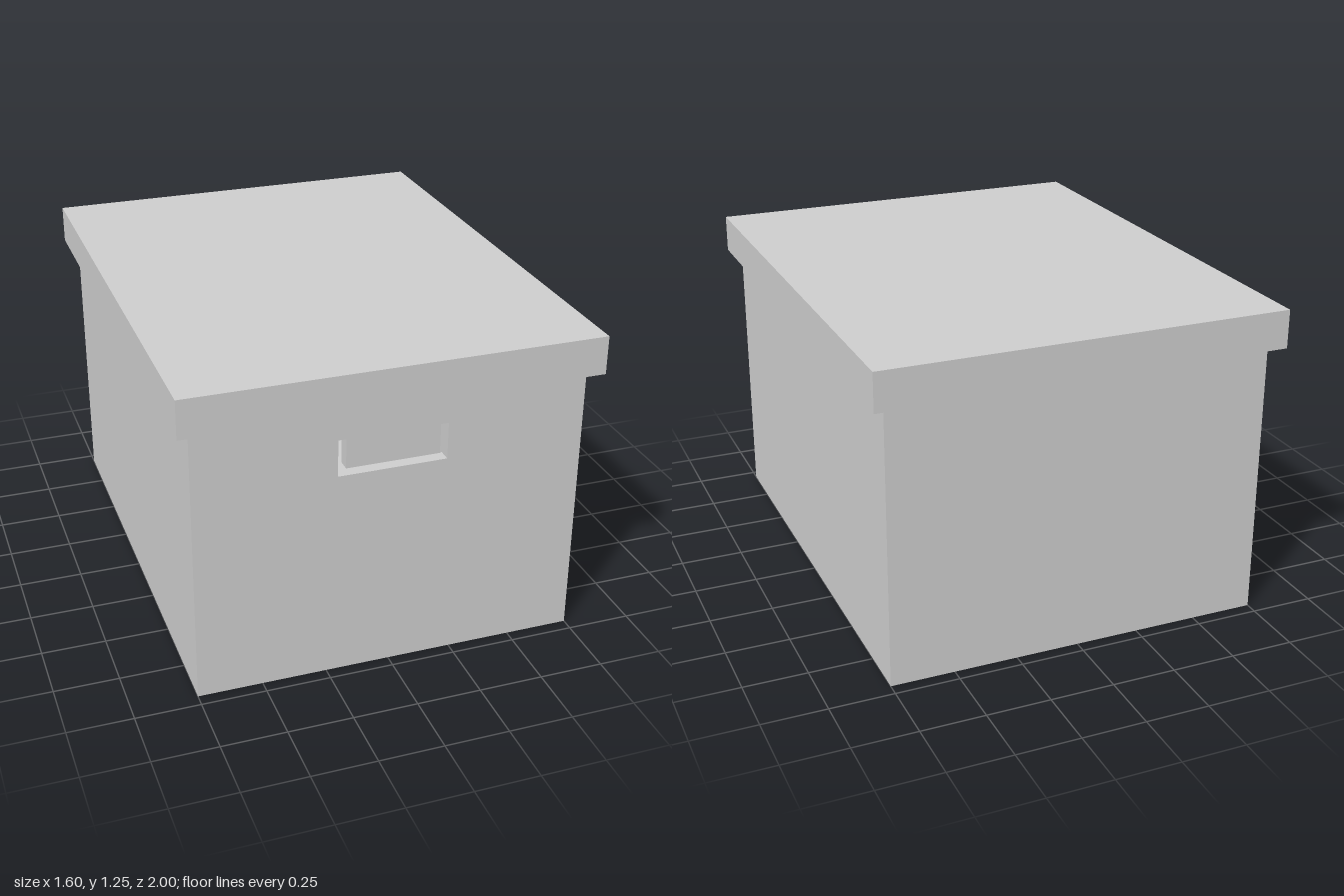
import * as THREE from 'three';

const WALL = 0.05;

export function createModel() {
  const model = new THREE.Group();
  model.name = 'storageBox';
  const grey = new THREE.MeshStandardMaterial({ color: 0xcccccc });
  grey.name = 'grey card';

  const add = (name, geometry, x, y, z, parent) => {
    const mesh = new THREE.Mesh(geometry, grey);
    mesh.name = name;
    mesh.position.set(x, y, z);
    parent.add(mesh);
  };
  const box = (name, w, h, d, x, y, z, parent) =>
    add(name, new THREE.BoxGeometry(w, h, d), x, y, z, parent);

  // Hollow body: floor, sides and back
  const body = new THREE.Group();
  body.name = 'body';
  model.add(body);
  const height = 1.2;
  box('floor', 1.4, WALL, 1.8, 0, WALL / 2, 0, body);
  box('backWall', 1.5, height, WALL, 0, height / 2, -0.925, body);
  for (const [name, s] of [['leftWall', 1], ['rightWall', -1]]) {
    box(name, WALL, height, 1.8, s * 0.725, height / 2, 0, body);
  }

  // Front wall with a U-shaped slot that leaves a hand flap
  const outline = (points) => points.map(([x, y]) => new THREE.Vector2(x, y));
  const front = new THREE.Shape(outline([[-0.75, 0], [0.75, 0], [0.75, height], [-0.75, height]]));
  front.holes.push(new THREE.Path(outline([
    [-0.21, 0.975], [-0.18, 0.975], [-0.18, 0.858], [0.18, 0.858],
    [0.18, 0.975], [0.21, 0.975], [0.21, 0.83], [-0.21, 0.83],
  ])));
  add('frontWall', new THREE.ExtrudeGeometry(front, { depth: WALL, bevelEnabled: false }), 0, 0, 0.9, body);

  // Overhanging lid: top plate with a rim around the body
  const lid = new THREE.Group();
  lid.name = 'lid';
  model.add(lid);
  box('lidTop', 1.6, WALL, 2, 0, 1.225, 0, lid);
  for (const s of [-1, 1]) {
    box('lidSideRim', WALL, 0.1, 2, s * 0.775, 1.15, 0, lid);
    box('lidEndRim', 1.5, 0.1, WALL, 0, 1.15, s * 0.975, lid);
  }
  return model;
}
